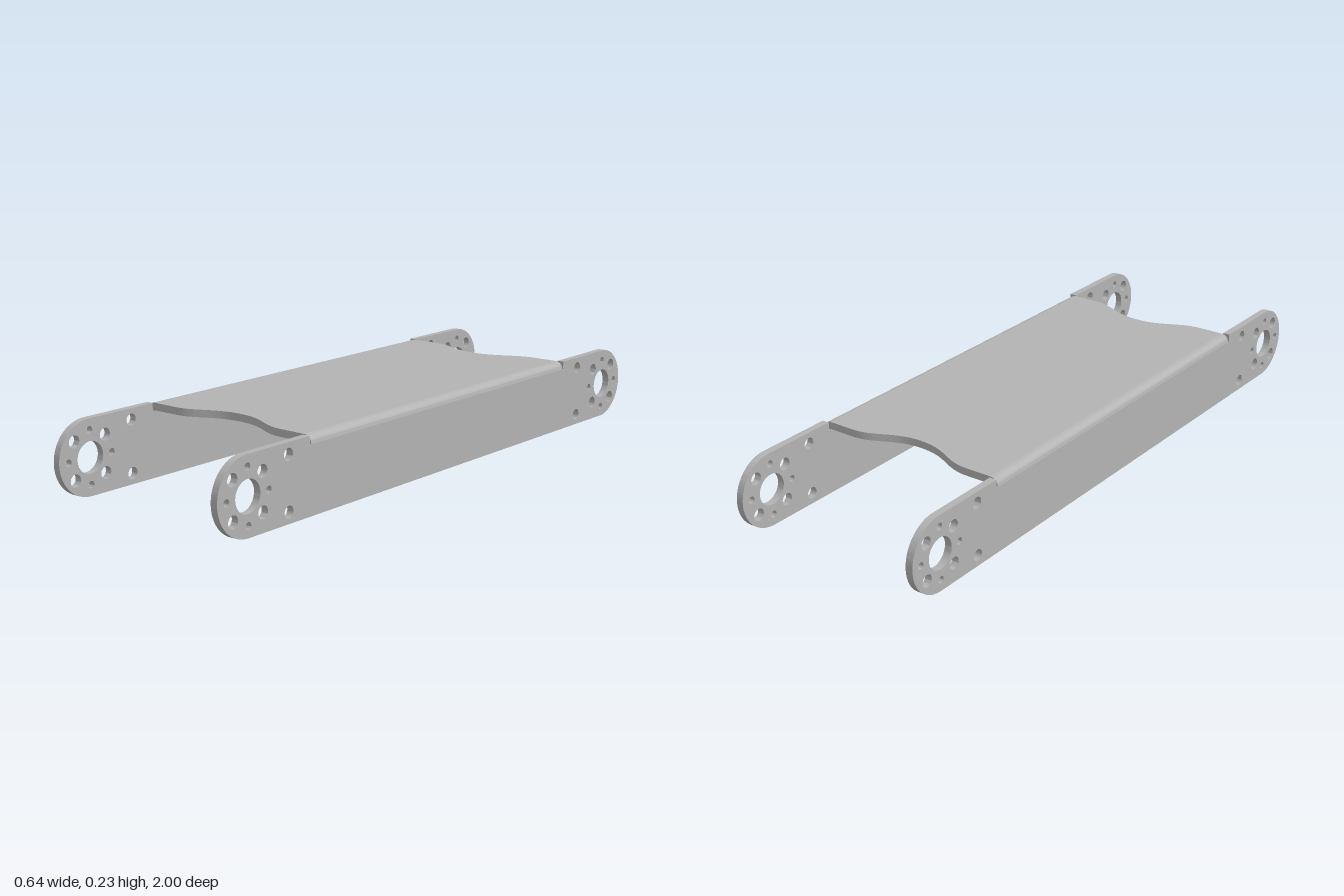
import * as THREE from 'three';
import { toCreasedNormals } from 'three/addons/utils/BufferGeometryUtils.js';

const T = 0.023;         // sheet thickness
const W = 0.32;          // half width
const H = 0.23;          // height
const R = H / 2;         // rounded end radius
const HUB = 1 - R;       // z of the end hubs
const BEND = 0.025;      // outer bend radius
const L = 0.632;         // half length of the bent web
const SLIT = 0.006;      // relief slit beside the bend

const metal = new THREE.MeshStandardMaterial({ color: 0xb3b3b3 });
metal.name = 'grey metal';

function extrude(shape, depth, curveSegments = 20) {
  const g = new THREE.ExtrudeGeometry(shape, { depth, bevelEnabled: false, curveSegments });
  return toCreasedNormals(g, 0.6);
}

function part(name, geometry) {
  const mesh = new THREE.Mesh(geometry, metal);
  mesh.name = name;
  return mesh;
}

// Side plate drawn in (z, y): round ends, lowered top edge under the bend, hub holes
function sideShape() {
  const s = new THREE.Shape();
  const low = H - BEND;
  s.moveTo(-HUB, 0);
  s.lineTo(HUB, 0);
  s.absarc(HUB, R, R, -Math.PI / 2, Math.PI / 2, false);
  s.lineTo(L + SLIT, H);
  s.lineTo(L + SLIT, low);
  s.lineTo(-L - SLIT, low);
  s.lineTo(-L - SLIT, H);
  s.lineTo(-HUB, H);
  s.absarc(-HUB, R, R, Math.PI / 2, Math.PI * 1.5, false);

  const hole = (x, y, r) => {
    const p = new THREE.Path();
    p.absarc(x, y, r, 0, Math.PI * 2, true);
    s.holes.push(p);
  };
  for (const e of [-1, 1]) {
    hole(e * HUB, R, 0.048);
    // Ring of alternating small and large holes
    for (let i = 0; i < 8; i++) {
      const a = i * Math.PI / 4;
      hole(e * HUB + 0.081 * Math.cos(a), R + 0.081 * Math.sin(a), i % 2 ? 0.019 : 0.011);
    }
    for (const v of [-1, 1]) hole(e * 0.725, R + v * 0.081, 0.018);
  }
  return s;
}

// Web drawn in (x, z) with a shallow wave cut into each end
function webShape() {
  const x = W - BEND, dip = 0.573;
  const s = new THREE.Shape();
  s.moveTo(-x, -L);
  s.lineTo(-0.21, -L);
  s.bezierCurveTo(-0.13, -L, -0.1, -dip, 0, -dip);
  s.bezierCurveTo(0.1, -dip, 0.13, -L, 0.21, -L);
  s.lineTo(x, -L);
  s.lineTo(x, L);
  s.lineTo(0.21, L);
  s.bezierCurveTo(0.13, L, 0.1, dip, 0, dip);
  s.bezierCurveTo(-0.1, dip, -0.13, L, -0.21, L);
  s.lineTo(-x, L);
  return s;
}

// Quarter-ring section of the folded edge, for the +x side
function bendShape(side) {
  const s = new THREE.Shape();
  const a0 = side > 0 ? 0 : Math.PI / 2;
  const a1 = a0 + Math.PI / 2;
  s.absarc(0, 0, BEND, a0, a1, false);
  s.absarc(0, 0, BEND - T, a1, a0, true);
  return s;
}

export function createModel() {
  const model = new THREE.Group();
  model.name = 'channelBracket';

  const web = part('topWeb', extrude(webShape(), T).rotateX(Math.PI / 2));
  web.position.y = H;
  model.add(web);

  const plate = extrude(sideShape(), T).rotateY(-Math.PI / 2); // spans x from -T to 0
  for (const side of [1, -1]) {
    const label = side > 0 ? 'left' : 'right';
    const wall = part(label + 'SidePlate', plate);
    wall.position.x = side > 0 ? W : -W + T;
    model.add(wall);

    const bend = part(label + 'Bend', extrude(bendShape(side), 2 * L, 10));
    bend.position.set(side * (W - BEND), H - BEND, -L);
    model.add(bend);
  }
  return model;
}
